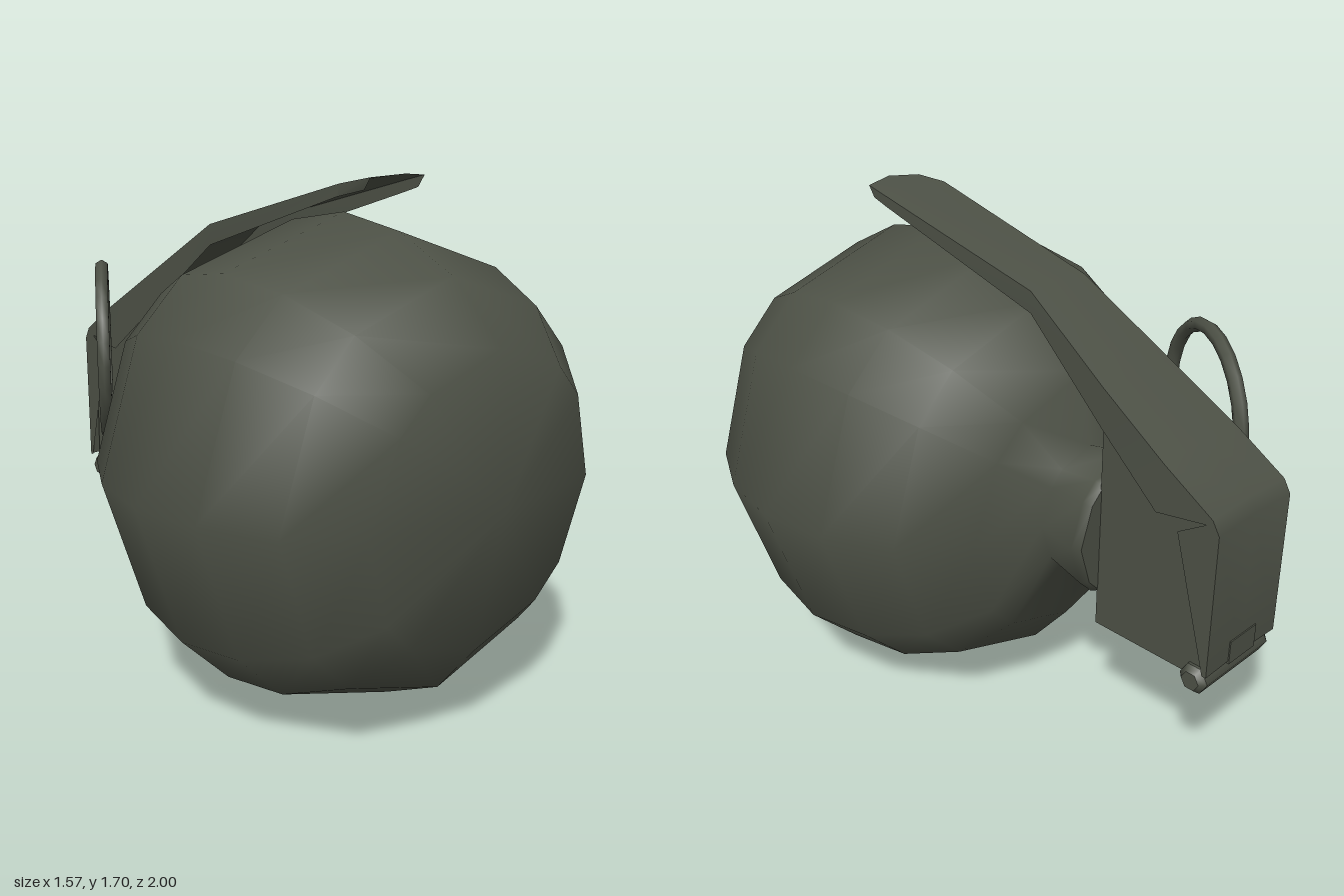
import * as THREE from 'three';
import { mergeVertices, toCreasedNormals } from 'three/addons/utils/BufferGeometryUtils.js';

const CY = 0.785; // height of the body axis

// Twelve-sided turned shape about the z axis; points are [radius, z]
function turned(points) {
  const geo = new THREE.LatheGeometry(points.map(([r, z]) => new THREE.Vector2(r, z)), 12);
  geo.rotateX(Math.PI / 2);
  const p = geo.attributes.position;
  const uneven = [0, 36, 54];
  for (let i = 0; i < p.count; i++) {
    const r = Math.hypot(p.getX(i), p.getY(i));
    const step = (Math.round(Math.atan2(p.getY(i), p.getX(i)) / (Math.PI / 6)) + 12) % 12;
    const a = THREE.MathUtils.degToRad(Math.floor(step / 3) * 90 + uneven[step % 3]);
    const x = r * Math.cos(a), y = r * Math.sin(a);
    let z = p.getZ(i);
    if (Math.abs(r - 0.46) < 0.01) z += 0.05 * y * Math.sign(z); // end rings lean slightly
    p.setXYZ(i, x, y + CY, z);
  }
  geo.deleteAttribute('normal');
  geo.deleteAttribute('uv');
  const merged = mergeVertices(geo, 1e-4);
  merged.computeVertexNormals();
  return merged;
}

// Channel-shaped lever: each station is [z, y, left x, right x, flange z, flange y, tip bulge]
function channel(stations) {
  const pos = [], index = [];
  for (const [z, y, xl, xr, fz, fy, bulge = 0] of stations) {
    const mid = (xl + xr) / 2;
    pos.push(xl, fy, fz, xl, y, z, mid, y + 0.008, z + bulge, xr, y, z, xr, fy, fz);
  }
  for (let i = 0; i < stations.length - 1; i++) {
    for (let j = 0; j < 4; j++) {
      const a = i * 5 + j, b = a + 1, c = a + 5, d = c + 1;
      index.push(a, b, c, b, d, c);
    }
  }
  const geo = new THREE.BufferGeometry();
  geo.setAttribute('position', new THREE.Float32BufferAttribute(pos, 3));
  geo.setIndex(index);
  geo.computeVertexNormals();
  return toCreasedNormals(geo, 0.7);
}

export function createModel() {
  const group = new THREE.Group();
  const olive = new THREE.MeshStandardMaterial({ color: 0x4d5146, side: THREE.DoubleSide });
  olive.name = 'dark olive';

  const add = (name, geo, x = 0, y = 0, z = 0) => {
    const mesh = new THREE.Mesh(geo, olive);
    mesh.name = name;
    mesh.position.set(x, y, z);
    group.add(mesh);
    return mesh;
  };

  // Round body flowing into the flared neck
  add('body', turned([
    [0.23, -0.553], [0.245, -0.525], [0.215, -0.375], [0.46, -0.32], [0.635, -0.15],
    [0.745, 0.065], [0.785, 0.31], [0.745, 0.55], [0.635, 0.77], [0.46, 0.93], [0, 0.998],
  ]));
  add('neckCap', turned([[0, -0.553], [0.23, -0.553]]));

  // Head block with a sloping top, extruded across x
  const profile = new THREE.Shape([
    [0.55, 0.48], [0.55, 1.24], [0.97, 1.0], [0.985, 0.5], [0.96, 0.48],
  ].map(([z, y]) => new THREE.Vector2(z, y)));
  const head = new THREE.ExtrudeGeometry(profile, { depth: 0.29, bevelEnabled: false });
  head.translate(0, 0, -0.145);
  head.rotateY(Math.PI / 2);
  add('head', head);

  // Lever running over the body and folding down behind the head
  add('lever', channel([
    [0.54, 1.687, -0.11, 0.11, 0.515, 1.65, 0.03],
    [0.46, 1.668, -0.155, 0.112, 0.45, 1.63, 0.02],
    [-0.22, 1.5, -0.125, 0.115, -0.22, 1.43],
    [-0.55, 1.3, -0.155, 0.155, -0.55, 1.17],
    [-0.8, 1.15, -0.175, 0.175, -0.78, 0.99],
    [-0.975, 1.042, -0.175, 0.175, -0.955, 1.02],
    [-1, 1.0, -0.175, 0.175, -0.86, 0.96],
    [-1, 0.52, -0.175, 0.175, -0.985, 0.52],
  ]));

  // Hinge rod and its small tab at the foot of the lever
  const rod = new THREE.CylinderGeometry(0.05, 0.05, 0.31, 6);
  rod.rotateZ(Math.PI / 2);
  add('hingeRod', rod, 0, 0.48, -0.945);
  for (const s of [-1, 1]) {
    const end = new THREE.CylinderGeometry(0.032, 0.05, 0.02, 6);
    end.rotateZ(-s * Math.PI / 2);
    add('hingeRodEnd', end, s * 0.165, 0.48, -0.945);
  }
  add('hingeTab', new THREE.BoxGeometry(0.13, 0.08, 0.008), 0, 0.555, -1.0);

  // Pull ring hanging beside the head
  const ring = add('pullRing', new THREE.TorusGeometry(0.292, 0.024, 6, 24), -0.355, 1.05, -0.55);
  ring.rotation.y = Math.atan2(0.56, 0.34);

  return group;
}
